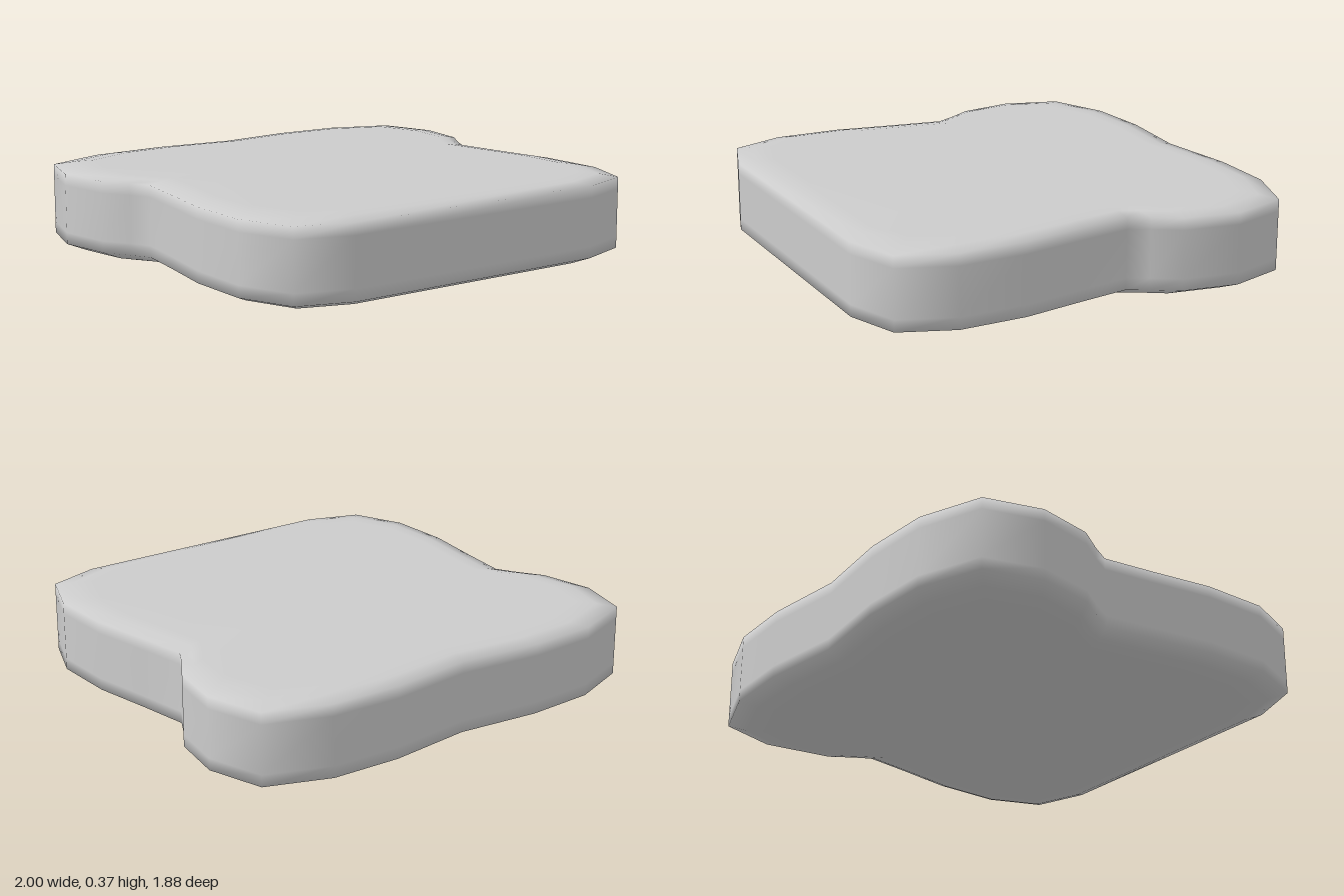
import * as THREE from 'three';

// Right half of the slice outline (x, z), from the back dip round to the front edge
const HALF = [
  [0, -0.905], [0.36, -0.945], [0.66, -0.932], [0.926, -0.832], [1, -0.59],
  [0.96, -0.35], [0.89, -0.24], [0.845, -0.155], [0.88, 0.07], [0.927, 0.34],
  [0.93, 0.63], [0.84, 0.862], [0.61, 0.94],
];

// Rounded edge: [height, scale of the outline], bottom to top
const LEVELS = [
  [0, 0.86], [0.012, 0.93], [0.04, 1], [0.09, 1],
  [0.295, 1], [0.345, 1], [0.358, 0.93], [0.366, 0.86],
];

function createSliceGeometry() {
  const mirrored = HALF.slice(1).reverse().map(([x, z]) => [-x, z]);
  const outline = [...HALF, ...mirrored];
  const n = outline.length;
  const positions = [];
  const indices = [];

  for (const [y, s] of LEVELS) {
    for (const [x, z] of outline) positions.push(x * s, y, z * s);
  }
  const bottom = n * LEVELS.length;
  const top = bottom + 1;
  positions.push(0, 0, 0, 0, LEVELS.at(-1)[0], 0);

  for (let i = 0; i < n; i++) {
    const k = (i + 1) % n;
    // Crust and rounded rims
    for (let j = 0; j < LEVELS.length - 1; j++) {
      const a = j * n + i, b = j * n + k;
      indices.push(a, a + n, b, b, a + n, b + n);
    }
    // Flat faces
    const last = (LEVELS.length - 1) * n;
    indices.push(bottom, i, k, top, last + k, last + i);
  }

  const geometry = new THREE.BufferGeometry();
  geometry.setAttribute('position', new THREE.Float32BufferAttribute(positions, 3));
  geometry.setIndex(indices);
  geometry.computeVertexNormals();
  return geometry;
}

export function createModel() {
  const group = new THREE.Group();
  group.name = 'bread';
  const slice = new THREE.Mesh(
    createSliceGeometry(),
    new THREE.MeshStandardMaterial({ color: 0xcccccc }),
  );
  slice.name = 'breadSlice';
  group.add(slice);
  return group;
}
